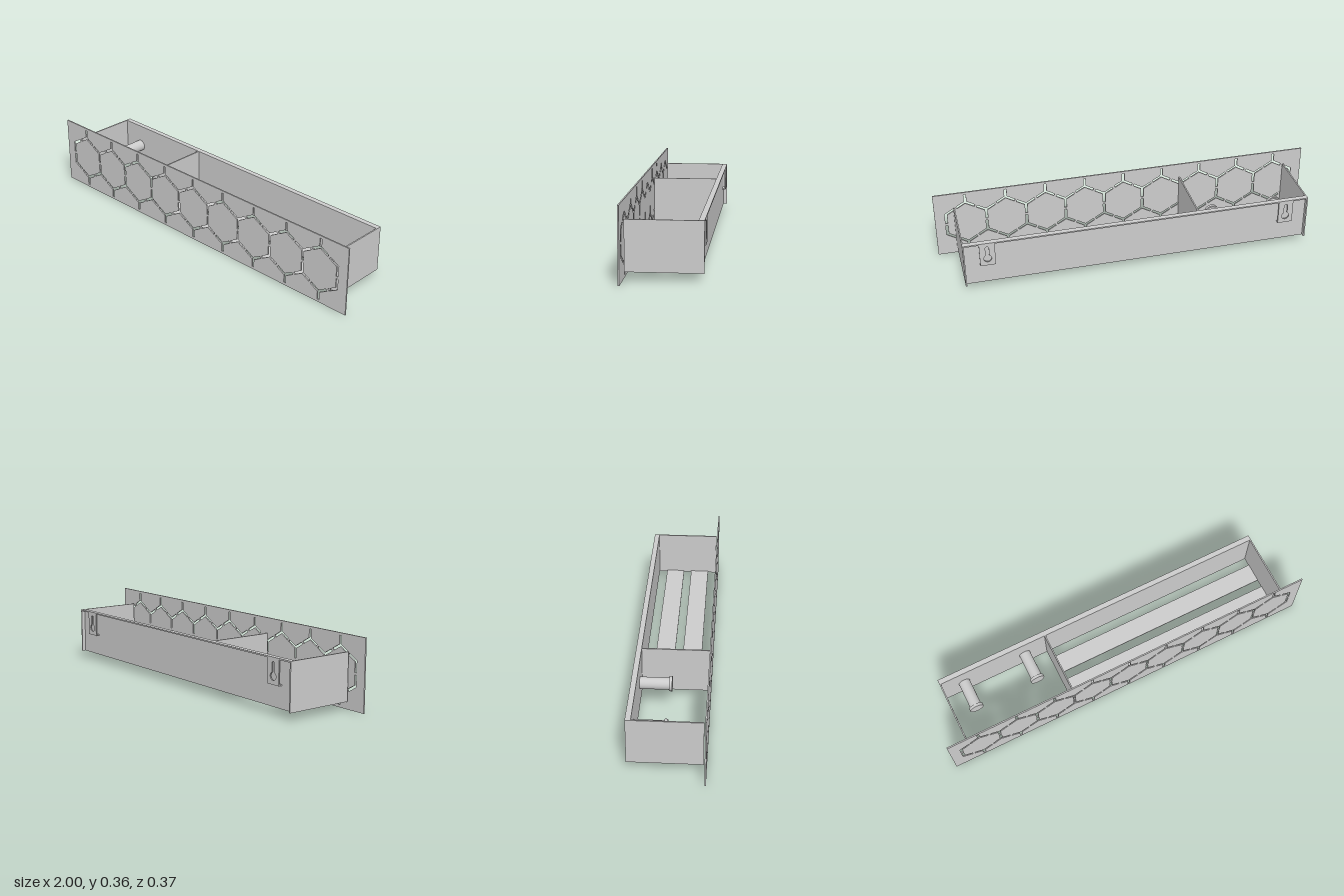
import * as THREE from 'three';

const T = 0.007; // sheet thickness
const material = new THREE.MeshStandardMaterial({ color: 0xcccccc });

export function createModel() {
  const group = new THREE.Group();

  const add = (name, geometry, x = 0, y = 0, z = 0) => {
    const mesh = new THREE.Mesh(geometry, material);
    mesh.name = name;
    mesh.position.set(x, y, z);
    group.add(mesh);
    return mesh;
  };

  // Box given by its limits on each axis
  const box = (name, [x0, x1], [y0, y1], [z0, z1]) =>
    add(name, new THREE.BoxGeometry(x1 - x0, y1 - y0, z1 - z0),
      (x0 + x1) / 2, (y0 + y1) / 2, (z0 + z1) / 2);

  const rectangle = (x0, y0, x1, y1) => new THREE.Shape([
    new THREE.Vector2(x0, y0), new THREE.Vector2(x1, y0),
    new THREE.Vector2(x1, y1), new THREE.Vector2(x0, y1),
  ]);

  // Branching slot: arms [degrees, length] in ascending order round a centre
  const branchSlot = (cx, cy, arms, half = 0.006) => {
    const points = [];
    arms.forEach(([deg, length], i) => {
      const a = THREE.MathUtils.degToRad(deg);
      const c = Math.cos(a), s = Math.sin(a);
      points.push(new THREE.Vector2(cx + length * c + half * s, cy + length * s - half * c));
      points.push(new THREE.Vector2(cx + length * c - half * s, cy + length * s + half * c));
      const next = arms[(i + 1) % arms.length][0];
      const gap = THREE.MathUtils.degToRad((next - deg + 360) % 360) / 2;
      const r = half / Math.sin(gap);
      points.push(new THREE.Vector2(cx + r * Math.cos(a + gap), cy + r * Math.sin(a + gap)));
    });
    return new THREE.Path(points);
  };

  // Front panel with a row of hexagon outlines, bridged halfway along each edge
  const pitch = 0.2092, side = pitch / Math.sqrt(3), midY = 0.18;
  const arm = side / 2 - 0.006, stem = 0.046;
  const panel = rectangle(-1, 0, 1, 0.36);
  for (let k = -4; k <= 4; k++) {
    panel.holes.push(branchSlot(k * pitch, midY + side, [[90, stem], [210, arm], [330, arm]]));
    panel.holes.push(branchSlot(k * pitch, midY - side, [[30, arm], [150, arm], [270, stem]]));
  }
  for (let k = 0; k <= 9; k++) {
    const x = (k - 4.5) * pitch;
    // The end corners have no outward arm
    const keep = ([deg]) => !(k === 0 && (deg === 150 || deg === 210))
      && !(k === 9 && (deg === 30 || deg === 330));
    panel.holes.push(branchSlot(x, midY + side / 2, [[30, arm], [150, arm], [270, arm]].filter(keep)));
    panel.holes.push(branchSlot(x, midY - side / 2, [[90, arm], [210, arm], [330, arm]].filter(keep)));
  }
  add('frontPanel', new THREE.ExtrudeGeometry(panel, { depth: T, bevelEnabled: false }), 0, 0, 0.18);

  // Tray walls, with a flange folded back along the top of the rear wall
  const height = [0.04, 0.28];
  box('backWall', [-0.9, 0.9], height, [-0.167, -0.16]);
  box('topFlange', [-0.9, 0.9], [0.28 - T, 0.28], [-0.187, -0.16]);
  box('rightWall', [-0.9, -0.9 + T], height, [-0.187, 0.173]);
  box('leftWall', [0.9 - T, 0.9], height, [-0.187, 0.173]);
  box('divider', [-0.31 - T / 2, -0.31 + T / 2], height, [-0.16, 0.18]);

  // Two slats form the open floor
  for (const z of [-0.115, 0.027]) {
    box('floorSlat', [-0.31, 0.9 - T], [0.04, 0.04 + T], [z, z + 0.1]);
  }

  // Round pegs with end collars, reaching forward from the rear wall
  for (const x of [-0.78, -0.435]) {
    add('peg', new THREE.CylinderGeometry(0.03, 0.03, 0.16, 32), x, 0.16, -0.08).rotation.x = Math.PI / 2;
    add('pegCollar', new THREE.CylinderGeometry(0.037, 0.037, 0.015, 32), x, 0.16, -0.0075).rotation.x = Math.PI / 2;
  }

  // Keyhole hangers on the back, each with a foot returning to the wall
  for (const x of [-0.78, 0.78]) {
    const plate = rectangle(-0.039, 0.15, 0.039, 0.28 - T);
    const keyhole = new THREE.Path();
    const open = Math.asin(0.009 / 0.02);
    keyhole.absarc(0, 0.25, 0.009, 0, Math.PI, false);
    keyhole.absarc(0, 0.19, 0.02, Math.PI / 2 + open, Math.PI * 2.5 - open, false);
    plate.holes.push(keyhole);
    add('hangerPlate', new THREE.ExtrudeGeometry(plate, { depth: 0.006, bevelEnabled: false }), x, 0, -0.187);
    box('hangerFoot', [x - 0.039, x + 0.039], [0.15, 0.156], [-0.182, -0.166]);
  }

  return group;
}
